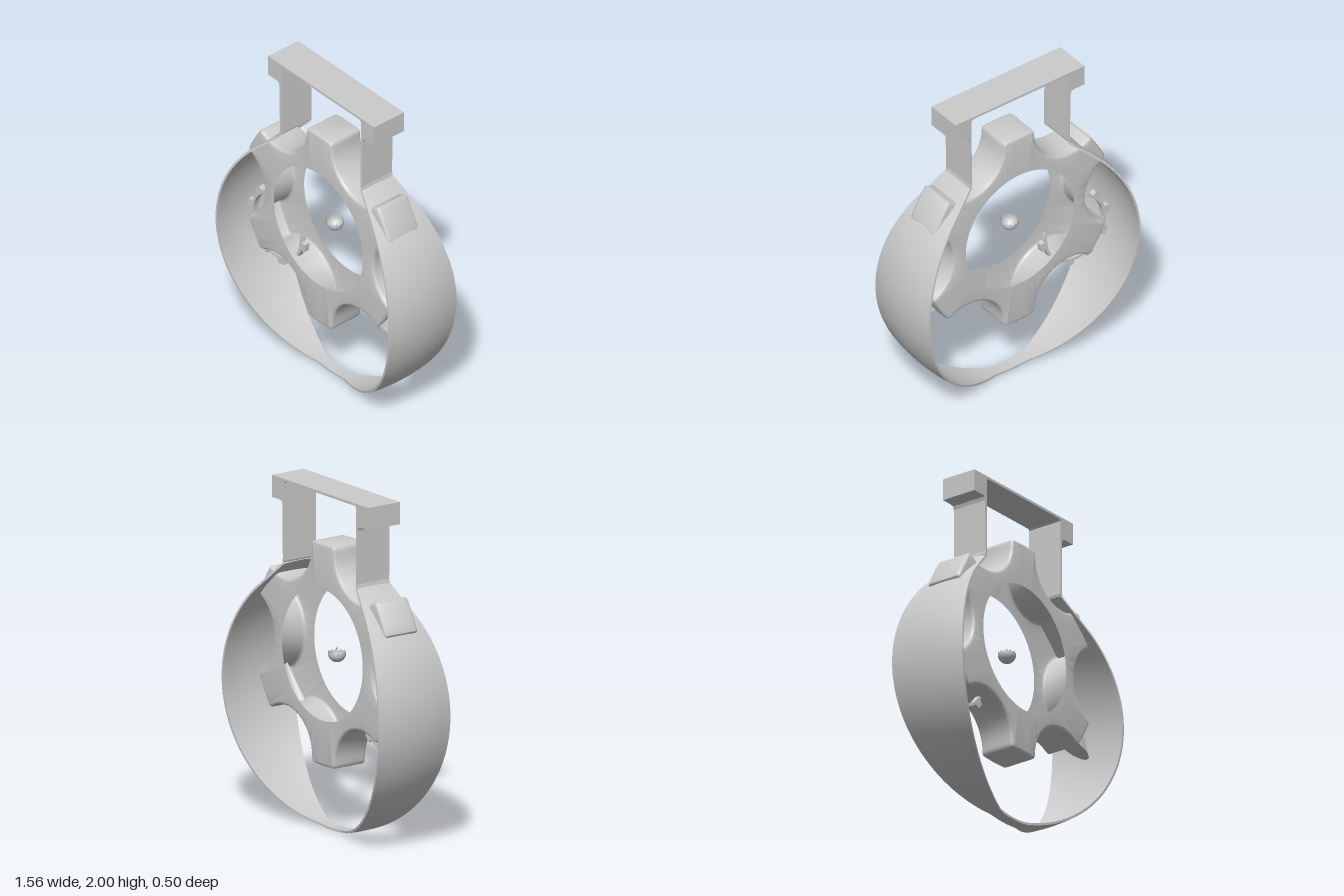
import * as THREE from 'three';
import { toCreasedNormals } from 'three/addons/utils/BufferGeometryUtils.js';

const { sin, cos, PI, abs, max, hypot, atan2 } = Math;
const rad = (d) => (d * PI) / 180;
const material = new THREE.MeshStandardMaterial({ color: 0xcccccc, side: THREE.DoubleSide });

// Skins a list of closed cross-sections; optionally caps both ends as strips.
function loft(rings, capEnds = false) {
  const n = rings[0].length, index = [];
  for (let i = 0; i < rings.length - 1; i++) {
    for (let j = 0; j < n; j++) {
      const a = i * n + j, b = i * n + ((j + 1) % n);
      index.push(a, b, a + n, b, b + n, a + n);
    }
  }
  if (capEnds) {
    for (const [base, flip] of [[0, false], [(rings.length - 1) * n, true]]) {
      for (let j = 0; j < n / 2 - 1; j++) {
        const a = base + j, b = a + 1, c = base + n - 1 - j, d = c - 1;
        index.push(...(flip ? [a, b, c, b, d, c] : [a, c, b, b, c, d]));
      }
    }
  }
  const g = new THREE.BufferGeometry();
  g.setAttribute('position', new THREE.Float32BufferAttribute(rings.flat(2), 3));
  g.setIndex(index);
  return toCreasedNormals(g, 0.6);
}

function extrude(points, depth) {
  const shape = new THREE.Shape(points.map(([x, y]) => new THREE.Vector2(x, y)));
  const g = new THREE.ExtrudeGeometry(shape, { depth, bevelEnabled: false });
  return g.translate(0, 0, -depth / 2);
}

// Bowed band: circular, straight near its upper ends, widening away from x = 0.
function bandGeometry() {
  const path = [];
  for (let k = 0; k <= 4; k++) path.push([0.353 + 0.05 * k, 1.517 - 0.0448 * k]);
  for (let a = 45; a >= -225; a -= 3) path.push([0.782 * cos(rad(a)), 0.785 + 0.782 * sin(rad(a))]);
  for (let k = 4; k >= 0; k--) path.push([-0.353 - 0.05 * k, 1.517 - 0.0448 * k]);
  const steps = 8, thickness = 0.013;
  const rings = path.map(([x, y], i) => {
    const p = path[max(0, i - 1)], q = path[Math.min(path.length - 1, i + 1)];
    const l = hypot(q[0] - p[0], q[1] - p[1]);
    const nx = -(q[1] - p[1]) / l, ny = (q[0] - p[0]) / l;
    const w = max(0.035, 0.32 * abs(x));
    const outer = [], inner = [];
    for (let s = 0; s <= steps; s++) {
      const z = w * ((2 * s) / steps - 1);
      const d = -0.025 * (z / 0.24) ** 2;
      outer.push([x + nx * d, y + ny * d, z]);
      inner.unshift([x + nx * (d - thickness), y + ny * (d - thickness), z]);
    }
    return [...outer, ...inner];
  });
  return loft(rings, true);
}

// Hollow six-lug wheel: two plates with a round hole, joined by a filleted rim.
function wheelGeometry() {
  const outline = [];
  for (let k = 0; k < 6; k++) {
    const t = rad(60 * k);
    const add = (x, y, turn) => outline.push([
      x * cos(t + turn) - y * sin(t + turn), x * sin(t + turn) + y * cos(t + turn)]);
    for (let i = -8; i <= 8; i++) {
      const a = rad(60 * i / 8);
      add(0.72 - 0.25 * cos(a), 0.25 * sin(a), 0);
    }
    for (const [r, s] of [[0.64, -0.107], [0.648, -0.1], [0.651, -0.088], [0.654, -0.03],
      [0.654, 0.03], [0.651, 0.088], [0.648, 0.1], [0.64, 0.107]]) add(r, s, PI / 6);
  }
  const n = outline.length;
  const normals = outline.map((_, i) => {
    const p = outline[(i + n - 1) % n], q = outline[(i + 1) % n];
    const l = hypot(q[0] - p[0], q[1] - p[1]);
    return [(q[1] - p[1]) / l, -(q[0] - p[0]) / l];
  });
  const hole = (z) => outline.map(([x, y]) => {
    const a = atan2(y, x);
    return [0.386 * cos(a), 0.386 * sin(a), z];
  });
  const inset = (d, z) => outline.map(([x, y], i) => [x - normals[i][0] * d, y - normals[i][1] * d, z]);
  const front = 0.125, back = -0.102, r = 0.02, rings = [hole(front)];
  for (let s = 0; s <= 4; s++) {
    const a = (s / 4) * PI / 2;
    rings.push(inset(r * (1 - sin(a)), front - r * (1 - cos(a))));
  }
  for (let s = 4; s >= 0; s--) {
    const a = (s / 4) * PI / 2;
    rings.push(inset(r * (1 - sin(a)), back + r * (1 - cos(a))));
  }
  rings.push(hole(back));
  return loft(rings);
}

// Open toothed arc, tapering at both ends.
function toothedArcGeometry() {
  const outer = [], inner = [];
  for (let a = 103; a <= 376; a += 1.5) {
    const fade = Math.min(1, (a - 102) / 25, (377 - a) / 18);
    const tooth = [133, 170, 207, 244, 280, 317, 354].some((c) => abs(a - c) < 7);
    const ro = 0.218 + (tooth ? 0.028 : 0), ri = 0.217 - 0.017 * fade;
    outer.push([ro * cos(rad(a)), ro * sin(rad(a))]);
    inner.unshift([ri * cos(rad(a)), ri * sin(rad(a))]);
  }
  return extrude([...outer, ...inner], 0.035);
}

// Small hemispherical cup with a zigzag rim.
function cupGeometry() {
  const g = new THREE.SphereGeometry(0.052, 48, 12, 0, PI * 2, PI / 2, PI / 2);
  const p = g.attributes.position;
  for (let i = 0; i < p.count; i++) {
    const y = p.getY(i);
    const wave = abs(((atan2(p.getZ(i), p.getX(i)) / (2 * PI) + 1) * 12) % 1 - 0.5) * 2;
    if (y > -0.004) p.setY(i, y + 0.014 * wave);
  }
  g.computeVertexNormals();
  return g;
}

export function createModel() {
  const model = new THREE.Group();
  const add = (name, geometry, x = 0, y = 0, z = 0) => {
    const mesh = new THREE.Mesh(geometry, material);
    mesh.name = name;
    mesh.position.set(x, y, z);
    model.add(mesh);
    return mesh;
  };

  add('band', bandGeometry());

  // Handle: thin top plate with end blocks and two straps down to the band
  const half = [[0.46, 2], [0.46, 1.87], [0.385, 1.87], [0.367, 1.865], [0.36, 1.845],
    [0.357, 1.53], [0.362, 1.507], [0.35, 1.502], [0.343, 1.52], [0.345, 1.975], [0.335, 1.985]];
  const mirrored = half.map(([x, y]) => [-x, y]).reverse();
  add('handle', extrude([...half, ...mirrored], 0.224));

  add('wheel', wheelGeometry(), -0.008, 1.042, 0);
  add('toothedArc', toothedArcGeometry(), -0.48, 0.765, 0.015);

  // Flattened cone tucked behind a lower lug
  const cone = add('cone', new THREE.ConeGeometry(0.143, 0.236, 32), 0.542, 0.757, 0.06);
  cone.rotation.z = -0.195;
  cone.scale.z = 0.38;

  add('cup', cupGeometry(), -0.01, 1.037, 0);
  add('cupBead', new THREE.SphereGeometry(0.006, 10, 8), -0.01, 1.068, 0);
  return model;
}
